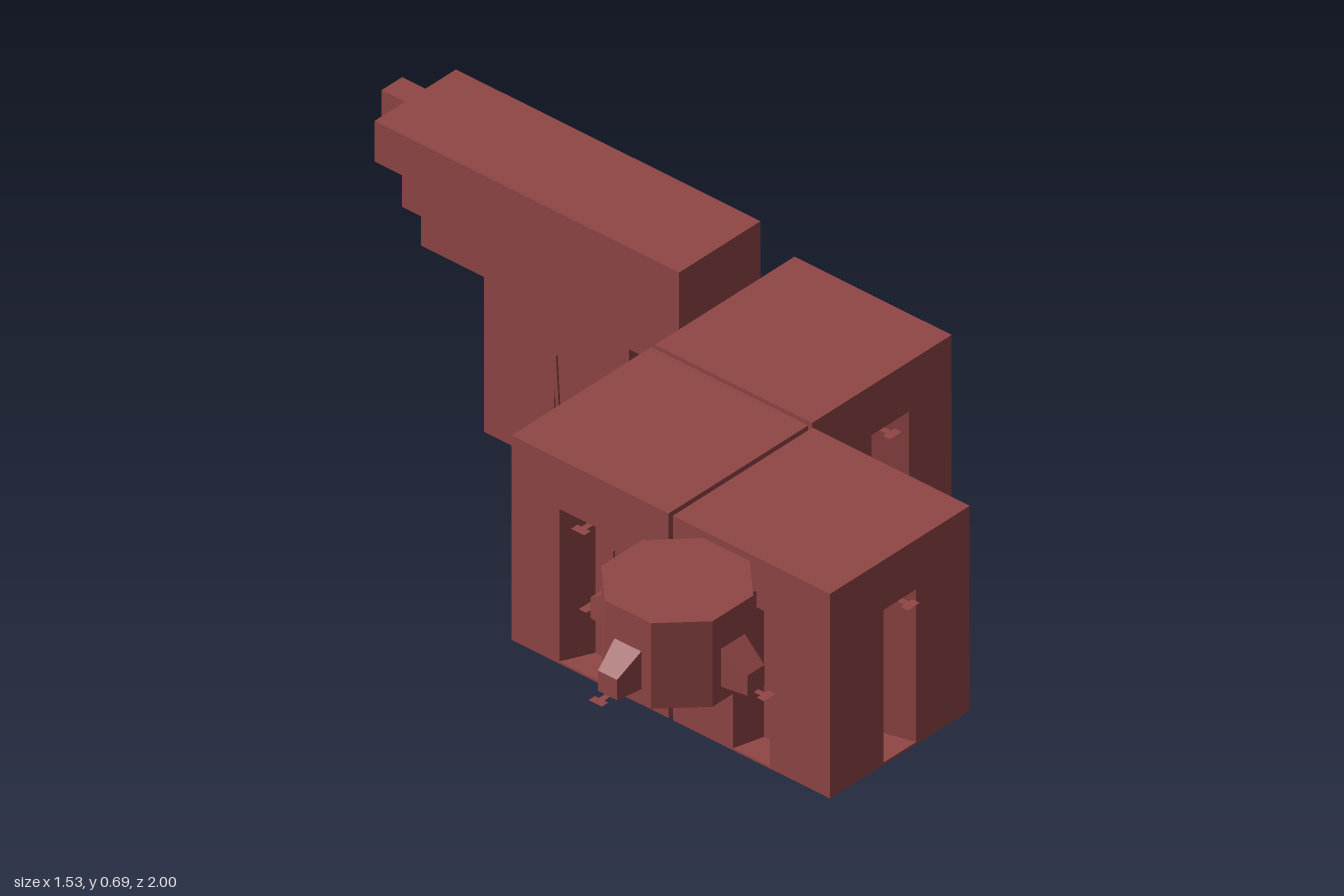
import * as THREE from 'three';

const material = new THREE.MeshStandardMaterial({ color: 0x904545, flatShading: true, side: THREE.DoubleSide });

function add(parent, name, geometry, x = 0, y = 0, z = 0) {
  const mesh = new THREE.Mesh(geometry, material);
  mesh.name = name;
  mesh.position.set(x, y, z);
  parent.add(mesh);
  return mesh;
}

// Box given by its limits on each axis
function block(parent, name, [x0, x1], [y0, y1], [z0, z1]) {
  return add(parent, name, new THREE.BoxGeometry(x1 - x0, y1 - y0, z1 - z0),
    (x0 + x1) / 2, (y0 + y1) / 2, (z0 + z1) / 2);
}

function shapeOf(points) {
  return new THREE.Shape(points.map(([x, y]) => new THREE.Vector2(x, y)));
}

// Calls build(side) for four groups turned about the vertical axis
function fourSides(parent, name, build) {
  for (let i = 0; i < 4; i++) {
    const side = new THREE.Group();
    side.name = name + (i + 1);
    side.rotation.y = i * Math.PI / 2;
    parent.add(side);
    build(side, i);
  }
}

// Flat T-shaped connector reaching outwards at door-head height
function connectorTab(parent, edge) {
  const shape = shapeOf([[-0.008, 0], [0.008, 0], [0.008, 0.02], [0.02, 0.02],
    [0.02, 0.042], [-0.02, 0.042], [-0.02, 0.02], [-0.008, 0.02]]);
  const geometry = new THREE.ShapeGeometry(shape).rotateX(Math.PI / 2);
  add(parent, 'connectorTab', geometry, 0, 0.42, edge);
}

// Slender split spike lying on a wall
function wallSpike(parent, z) {
  const shape = shapeOf([[-0.018, 0], [-0.008, 0], [0, 0.15], [0.008, 0], [0.018, 0], [0.003, 0.24], [-0.003, 0.24]]);
  const geometry = new THREE.ExtrudeGeometry(shape, { depth: 0.006, bevelEnabled: false });
  add(parent, 'wallSpike', geometry, 0, 0.07, z);
}

// Square room with a tapering doorway niche in each wall
function room(parent, name, x, z, doorWidth) {
  const g = new THREE.Group();
  g.name = name;
  g.position.set(x, 0, z);
  parent.add(g);
  const h = 0.236, d = 0.08, outer = doorWidth / 2, inner = outer * 0.6;
  const plan = [];
  for (let i = 0; i < 4; i++) {
    const a = i * Math.PI / 2, c = Math.cos(a), s = Math.sin(a);
    for (const [px, py] of [[-h, -h], [-outer, -h], [-inner, d - h], [inner, d - h], [outer, -h]])
      plan.push([px * c - py * s, px * s + py * c]);
  }
  const walls = new THREE.ExtrudeGeometry(shapeOf(plan), { depth: 0.414, bevelEnabled: false });
  add(g, 'walls', walls.rotateX(-Math.PI / 2), 0, 0.006, 0);
  block(g, 'floor', [-h, h], [0, 0.006], [-h, h]);
  block(g, 'roof', [-h, h], [0.42, 0.555], [-h, h]);
  fourSides(g, 'doorway', side => {
    wallSpike(side, h - d);
    connectorTab(side, h);
  });
}

// Eight-sided pod with four sloping ports
function pod(parent, x, z) {
  const g = new THREE.Group();
  g.name = 'octagonalPod';
  g.position.set(x, 0, z);
  parent.add(g);
  const octagon = (apothem, height) => {
    const r = apothem / Math.cos(Math.PI / 8);
    return new THREE.CylinderGeometry(r, r, height, 8).rotateY(Math.PI / 8);
  };
  add(g, 'podBody', octagon(0.167, 0.232), 0, 0.496, 0);
  add(g, 'podBase', octagon(0.122, 0.022), 0, 0.37, 0);
  fourSides(g, 'podSide', side => {
    const port = new THREE.BoxGeometry(0.084, 0.11, 0.08);
    const p = port.attributes.position;
    // Narrow and lower the outer end
    for (let i = 0; i < p.count; i++) {
      if (p.getZ(i) < 0) continue;
      p.setX(i, p.getX(i) * 0.68);
      if (p.getY(i) > 0) p.setY(i, 0);
    }
    port.computeVertexNormals();
    add(side, 'port', port, 0, 0.475, 0.196);
    connectorTab(side, 0.236);
  });
}

// Long overhead hall standing on a square-cut tower
function hall(parent) {
  const g = new THREE.Group();
  g.name = 'overheadHall';
  parent.add(g);
  const wide = [0.346, 0.622];
  block(g, 'upperBeam', wide, [0.585, 0.695], [-0.93, -0.015]);
  block(g, 'hallBody', wide, [0.42, 0.585], [-0.79, -0.015]);
  block(g, 'tower', wide, [0, 0.42], [-0.6, -0.165]);
  block(g, 'rearLedge', [0.434, 0.534], [0.42, 0.523], [-0.925, -0.79]);
  block(g, 'rearNub', [0.449, 0.519], [0.585, 0.695], [-1, -0.93]);
  block(g, 'hangingPin', [0.476, 0.492], [0.547, 0.585], [-0.97, -0.954]);
  const marks = new THREE.Group();
  marks.name = 'towerMarks';
  marks.position.set(0.484, 0, -0.3825);
  g.add(marks);
  fourSides(marks, 'towerSide', (side, i) => wallSpike(side, i % 2 ? 0.138 : 0.2175));
}

export function createModel() {
  const model = new THREE.Group();
  model.name = 'modularRooms';
  room(model, 'centreRoom', 0, 0.235, 0.185);
  room(model, 'leftRoom', 0.485, 0.235, 0.185);
  room(model, 'frontRoom', 0, 0.72, 0.11);
  pod(model, -0.487, 0.72);
  hall(model);
  return model;
}
